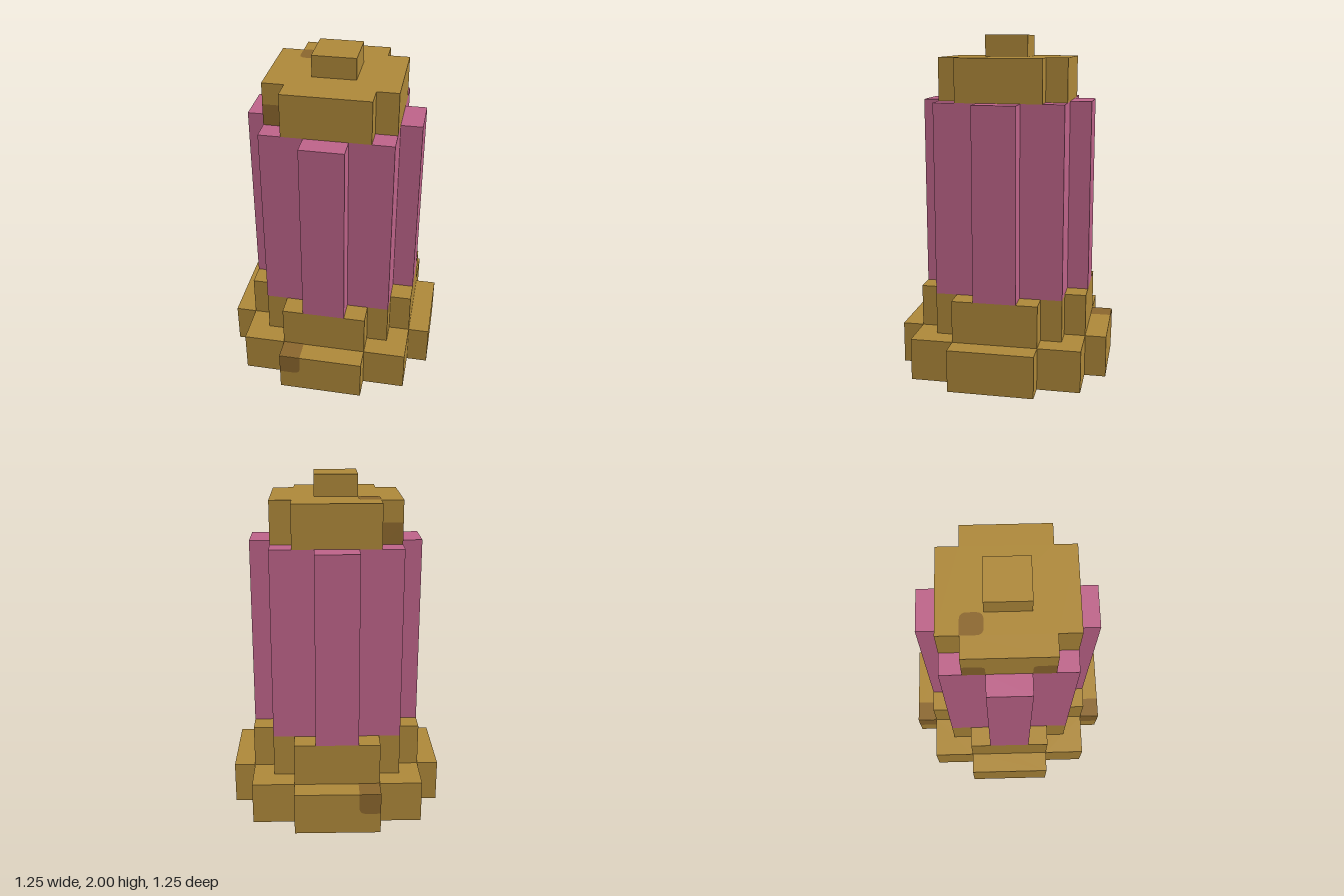
import * as THREE from 'three';

const U = 0.125; // width of one block
const LIFT = 0.002; // gap between a stain and the face under it

const gold = new THREE.MeshStandardMaterial({ color: 0xb08a3a });
gold.name = 'gold';
const pink = new THREE.MeshStandardMaterial({ color: 0xc0658b });
pink.name = 'pink';
const tarnish = new THREE.MeshStandardMaterial({ color: 0x8d682e });
tarnish.name = 'tarnish';

// Plan outline: a square (half width s) merged with a cross (half reach r, half arm width a)
function crossOutline(r, a, s) {
  const quarter = [[r, -a], [r, a], [s, a], [s, s], [a, s]];
  const points = [];
  for (let i = 0; i < 4; i++) {
    for (const [x, y] of quarter) {
      const [px, py] = [[x, y], [-y, x], [-x, -y], [y, -x]][i];
      const last = points[points.length - 1];
      if (!last || last.x !== px || last.y !== py) points.push(new THREE.Vector2(px, py));
    }
  }
  // drop repeats where the square is no wider than the arms
  return new THREE.Shape(points.filter((p, i) => !points.slice(0, i).some(q => q.equals(p))));
}

function tier(name, material, reach, arm, square, bottom, top) {
  const geometry = new THREE.ExtrudeGeometry(crossOutline(reach, arm, square), {
    depth: top - bottom, bevelEnabled: false,
  });
  geometry.rotateX(-Math.PI / 2);
  const mesh = new THREE.Mesh(geometry, material);
  mesh.name = name;
  mesh.position.y = bottom;
  return mesh;
}

// Facing directions as [x rotation, y rotation]
const FACING = {
  front: [0, 0],
  back: [0, Math.PI],
  right: [0, -Math.PI / 2],
  up: [-Math.PI / 2, 0],
  down: [Math.PI / 2, 0],
};

// One-block stain; round lists the rounded corners: bottom-left, bottom-right, top-right, top-left
function stain(name, facing, x, y, z, round = [0, 0, 0, 0]) {
  const h = U / 2;
  const corners = [[-1, -1], [1, -1], [1, 1], [-1, 1]];
  const shape = new THREE.Shape();
  corners.forEach(([cx, cy], i) => {
    const r = round[i] * 0.04;
    const alongX = [cx * (h - r), cy * h];
    const alongY = [cx * h, cy * (h - r)];
    const [from, to] = i % 2 ? [alongX, alongY] : [alongY, alongX];
    if (i === 0) shape.moveTo(...from);
    else shape.lineTo(...from);
    if (r) shape.quadraticCurveTo(cx * h, cy * h, ...to);
  });
  const mesh = new THREE.Mesh(new THREE.ShapeGeometry(shape, 5), tarnish);
  mesh.name = name;
  mesh.rotation.set(...FACING[facing], 0);
  mesh.position.set(x, y, z);
  mesh.translateZ(LIFT);
  return mesh;
}

export function createModel() {
  const model = new THREE.Group();
  model.name = 'lantern';

  // Stacked body
  model.add(
    tier('base', gold, 5 * U, 2 * U, 4 * U, 0, 0.25),
    tier('collar', gold, 4 * U, 2 * U, 3 * U, 0.25, 0.5),
    tier('column', pink, 4 * U, U, 3 * U, 0.5, 1.625),
    tier('cap', gold, 3 * U, 2 * U, 2 * U, 1.625, 1.875),
  );
  const knob = new THREE.Mesh(new THREE.BoxGeometry(2 * U, U, 2 * U), gold);
  knob.name = 'knob';
  knob.position.y = 1.875 + U / 2;
  model.add(knob);

  // Stained blocks on the base and cap, mirrored front to back
  for (const s of [1, -1]) {
    const facing = s > 0 ? 'front' : 'back';
    model.add(
      stain('baseStain', facing, -1.5 * U, 1.5 * U, s * 5 * U, s > 0 ? [0, 1, 0, 0] : [1, 0, 0, 0]),
      stain('baseStainSide', 'right', -2 * U, 1.5 * U, s * 4.5 * U),
      stain('baseStainTop', 'up', -1.5 * U, 2 * U, s * 4.5 * U),
      stain('capStain', facing, -2.5 * U, 13.5 * U, s * 2 * U),
      stain('capStainSide', 'right', -3 * U, 13.5 * U, s * 1.5 * U, s > 0 ? [0, 0, 0, 1] : [0, 0, 1, 0]),
    );
  }

  // Single spots on the cap top and the underside
  model.add(
    stain('capSpot', 'up', -1.5 * U, 15 * U, -1.5 * U, [1, 1, 1, 0]),
    stain('undersideSpot', 'down', -1.5 * U, 0, -1.5 * U, [1, 1, 1, 1]),
    stain('undersideSpot', 'down', -2.5 * U, 0, 2.5 * U, [1, 1, 1, 1]),
  );

  return model;
}
